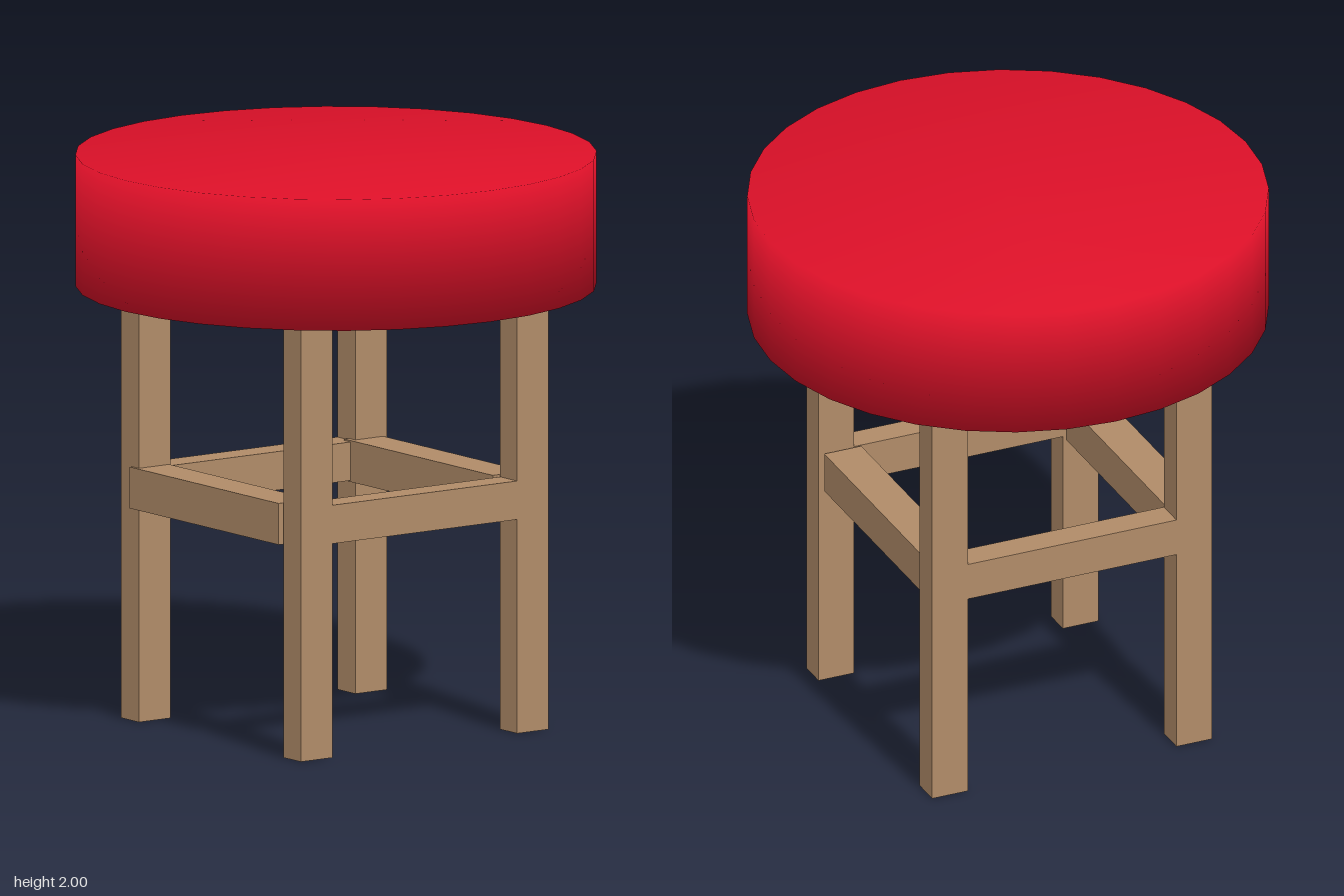
import * as THREE from 'three';

export function createModel() {
  const model = new THREE.Group();
  const wood = new THREE.MeshStandardMaterial({ color: 0xb08b68 });
  const red = new THREE.MeshStandardMaterial({ color: 0xdc1028 });

  // Box given by its [min, max] range on each axis
  function addBox(name, [x0, x1], [y0, y1], [z0, z1]) {
    const mesh = new THREE.Mesh(new THREE.BoxGeometry(x1 - x0, y1 - y0, z1 - z0), wood);
    mesh.position.set((x0 + x1) / 2, (y0 + y1) / 2, (z0 + z1) / 2);
    mesh.name = name;
    model.add(mesh);
  }

  // Round cushion, with normals blended softly over its rims
  const radius = 0.9, bottom = 1.54, top = 2;
  const cushion = new THREE.CylinderGeometry(radius, radius, top - bottom, 32);
  const { position, normal } = cushion.attributes;
  const n = new THREE.Vector3();
  for (let i = 0; i < position.count; i++) {
    n.fromBufferAttribute(position, i);
    n.y = Math.sign(n.y) * radius * 3.8;
    n.normalize();
    normal.setXYZ(i, n.x, n.y, n.z);
  }
  const seat = new THREE.Mesh(cushion, red);
  seat.name = 'seat';
  seat.position.y = (bottom + top) / 2;
  model.add(seat);

  // Legs, with a side stretcher between each front and back pair
  const sides = { right: [-0.525, -0.42], left: [0.425, 0.525] };
  const ends = { front: [0.4, 0.535], back: [-0.525, -0.39] };
  for (const [side, x] of Object.entries(sides)) {
    for (const [end, z] of Object.entries(ends)) {
      addBox(`${end} ${side} leg`, x, [0, bottom], z);
    }
    addBox(`${side} stretcher`, x, [0.75, 0.885], [-0.39, 0.4]);
  }

  // Front and back stretchers, set slightly towards the right
  addBox('front stretcher', [-0.46, 0.41], [0.745, 0.89], [0.405, 0.545]);
  addBox('back stretcher', [-0.46, 0.41], [0.745, 0.89], [-0.51, -0.37]);

  return model;
}
